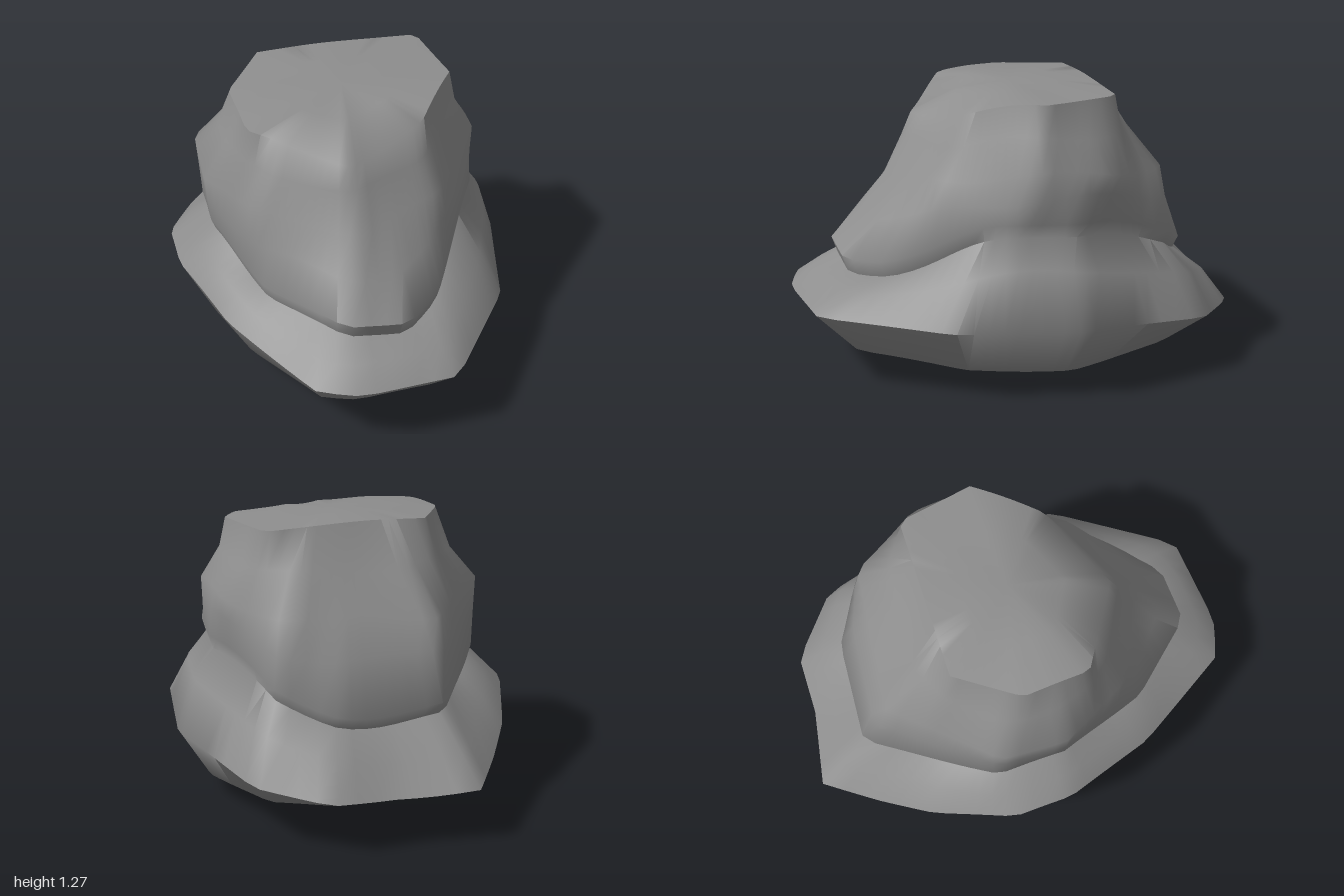
import * as THREE from 'three';
import { toCreasedNormals } from 'three/addons/utils/BufferGeometryUtils.js';

// Plan outlines: x, z corners, from the front round by +x
const BRIM = [-.15, .99, .28, .96, .63, .46, .76, -.1, .62, -.7, .36, -.93, .08, -.94,
  -.27, -1.01, -.45, -.78, -.6, -.57, -.76, -.23, -.76, .04, -.62, .46, -.33, .93];
const CROWN_BASE = [-.17, .8, .1, .8, .28, .64, .56, .15, .61, -.1, .48, -.58,
  .25, -.73, -.23, -.77, -.6, -.25, -.61, .05, -.45, .48];
const CROWN_MIDDLE = [-.06, .58, .32, .42, .59, .06, .59, -.25, .42, -.56, -.23, -.64,
  -.62, -.25, -.63, .05, -.47, .37];
const CROWN_TOP = [-.08, .44, .29, .27, .49, 0, .43, -.34, -.3, -.36, -.48, -.1, -.46, .2];
const OUTLINES = [BRIM, CROWN_BASE, CROWN_MIDDLE, CROWN_TOP];

// Levels: position between the outlines, scale, then heights at front, +x, back, -x
const LEVELS = [
  [0, .38, .03, 0, 0, .02], // underside
  [0, .81, .16, .1, .17, .15],
  [0, 1, .35, .33, .23, .45], // brim edge
  [.5, 1, .43, .58, .36, .54],
  [1, .97, .48, .72, .48, .61], // groove
  [1, 1, .55, .78, .53, .66], // crown
  [1.5, 1, .72, .87, .75, .78],
  [2, 1, .88, .97, .91, .92],
  [2.5, .96, 1.03, 1.11, 1.08, 1.08],
  [3, 1, 1.13, 1.255, 1.27, 1.24],
  [3, .55, 1.23, 1.265, 1.275, 1.265], // top
];
const STEPS = 72;

// Distance from the axis to an outline in direction (s, c)
function reach(outline, s, c) {
  for (let i = 0; i < outline.length; i += 2) {
    const [x1, z1] = [outline[i], outline[i + 1]];
    const next = (i + 2) % outline.length;
    const [x2, z2] = [outline[next], outline[next + 1]];
    const from = x1 * c - z1 * s, to = x2 * c - z2 * s;
    if (from <= 0 && to > 0) {
      const f = from / (from - to);
      return Math.hypot(x1 + f * (x2 - x1), z1 + f * (z2 - z1));
    }
  }
}

function levelPoint([at, scale, front, left, back, right], j) {
  const angle = j / STEPS * 2 * Math.PI, s = Math.sin(angle), c = Math.cos(angle);
  const lower = reach(OUTLINES[Math.floor(at)], s, c);
  const upper = reach(OUTLINES[Math.ceil(at)], s, c);
  const r = scale * THREE.MathUtils.lerp(lower, upper, at % 1);
  // Gentle waves along the crown
  const wave = 0.01 * at * (3 - at) * Math.sin(5 * angle + 3 * at);
  const y = c * c * (c > 0 ? front : back) + s * s * (s > 0 ? left : right) + wave;
  return [r * s, y, r * c];
}

export function createModel() {
  const positions = [], index = [];
  for (const level of LEVELS)
    for (let j = 0; j < STEPS; j++) positions.push(...levelPoint(level, j));

  // Side skin
  for (let i = 0; i < LEVELS.length - 1; i++)
    for (let j = 0; j < STEPS; j++) {
      const a = i * STEPS + j, b = i * STEPS + (j + 1) % STEPS;
      index.push(a, b, b + STEPS, a, b + STEPS, a + STEPS);
    }

  // Closing fans
  const bottom = positions.length / 3, top = bottom + 1;
  positions.push(0, 0, -.05, 0, 1.265, 0);
  const last = (LEVELS.length - 1) * STEPS;
  for (let j = 0; j < STEPS; j++) {
    const k = (j + 1) % STEPS;
    index.push(bottom, k, j, top, last + j, last + k);
  }

  const geometry = new THREE.BufferGeometry();
  geometry.setAttribute('position', new THREE.Float32BufferAttribute(positions, 3));
  geometry.setIndex(index);

  const rock = new THREE.Mesh(
    toCreasedNormals(geometry, 1),
    new THREE.MeshStandardMaterial({ color: 0x8e8e8e })
  );
  rock.name = 'rock';
  const group = new THREE.Group();
  group.name = 'boulder';
  group.add(rock);
  return group;
}
